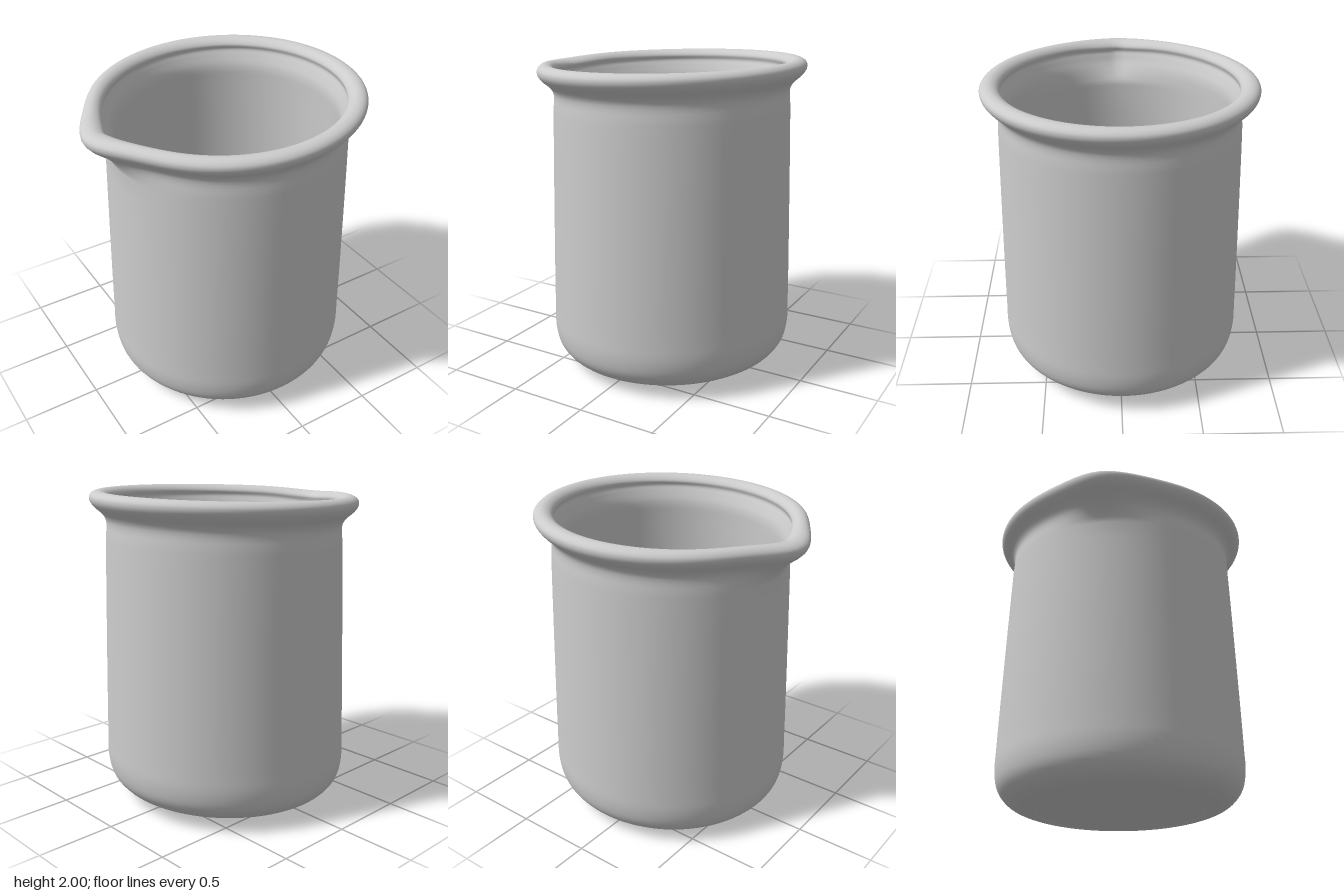
import * as THREE from 'three';
import { mergeVertices } from 'three/addons/utils/BufferGeometryUtils.js';

// Wall section as [radius, height]: up the outside, over the rim, down the inside
const SECTION = [
  [0.52, 0.014], [0.62, 0.034], [0.70, 0.07], [0.76, 0.14], [0.784, 0.24], [0.783, 0.4],
  [0.765, 1.1], [0.747, 1.68], [0.742, 1.79], [0.765, 1.835], [0.815, 1.88], [0.838, 1.915],
  [0.838, 1.945], [0.815, 1.968], [0.775, 1.975], [0.738, 1.96], [0.72, 1.935], [0.728, 1.905],
  [0.715, 1.87], [0.692, 1.8], [0.692, 1.68], [0.735, 0.4], [0.73, 0.25], [0.69, 0.14],
  [0.58, 0.09], [0.3, 0.075], [0.001, 0.07],
];
const RIM_OUT = 12 / (SECTION.length - 1);
const RIM_IN = 16 / (SECTION.length - 1);
const { smoothstep } = THREE.MathUtils;

// Slight lean of the whole vessel, and its axis position
function place(v) {
  v.x += 0.045;
  v.z -= 0.006 + 0.006 * (1 - v.y / 2);
  v.y += 0.03 * v.x;
  return v;
}

// Pull the wall outwards near the rim to form a pouring lip on the -x side
function pullLip(v, t) {
  const a = Math.abs(Math.atan2(v.z, -v.x));
  const height = smoothstep(v.y, 1.66, 1.86);
  const inside = smoothstep(t, RIM_OUT, RIM_IN);
  const outer = 0.097 * Math.exp(-((a / 0.31) ** 2));
  const inner = 0.085 * Math.exp(-a / 0.4);
  v.x -= height * THREE.MathUtils.lerp(outer, inner, inside);
  v.y -= 0.018 * height * Math.exp(-((a / 0.3) ** 2));
}

function lathe(points, deform) {
  let g = new THREE.LatheGeometry(points, 96);
  const pos = g.attributes.position, uv = g.attributes.uv, v = new THREE.Vector3();
  for (let i = 0; i < pos.count; i++) {
    v.fromBufferAttribute(pos, i);
    if (deform) deform(v, uv.getY(i));
    place(v);
    pos.setXYZ(i, v.x, v.y, v.z);
  }
  // Weld the seam so the surface shades smoothly all round
  g.deleteAttribute('uv');
  g.deleteAttribute('normal');
  g = mergeVertices(g, 1e-5);
  g.computeVertexNormals();
  return g;
}

export function createModel() {
  const group = new THREE.Group();
  const grey = new THREE.MeshStandardMaterial({ color: 0xcccccc });
  grey.name = 'pale grey';

  const add = (name, geometry) => {
    const mesh = new THREE.Mesh(geometry, grey);
    mesh.name = name;
    group.add(mesh);
  };

  // Beaker wall with rolled rim, pouring lip and inner floor
  const curve = new THREE.CatmullRomCurve3(
    SECTION.map(([r, y]) => new THREE.Vector3(r, y, 0)), false, 'centripetal');
  const points = curve.getPoints((SECTION.length - 1) * 4)
    .map((p) => new THREE.Vector2(Math.max(p.x, 0.001), p.y));
  add('beakerShell', lathe(points, pullLip));

  // Slightly recessed underside
  const base = [[0.001, 0.026], [0.3, 0.024], [0.5, 0.02], [0.515, 0.02], [0.52, 0.014]];
  add('baseDisc', lathe(base.map(([r, y]) => new THREE.Vector2(r, y))));

  return group;
}
